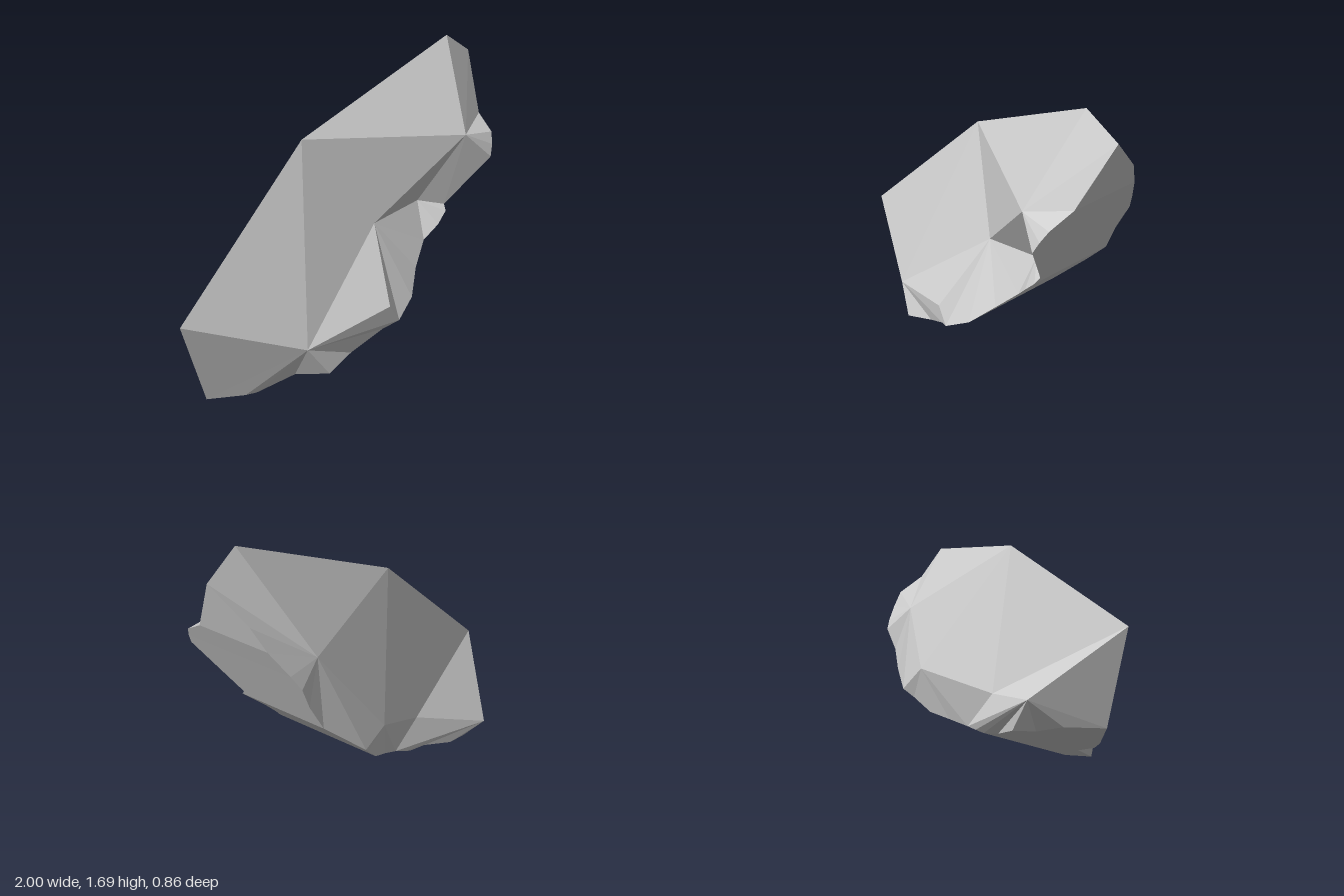
import * as THREE from 'three';

// Underside curve in x,y: the curved bottom runs straight across in z
const profile = [[-0.84, 0], [-0.61, 0], [-0.14, 0.14], [0.26, 0.36], [0.645, 0.74], [0.83, 1.12], [0.9, 1.26], [1, 1.58]];

function heightAt(x) {
  let i = 1;
  while (i < profile.length - 1 && x > profile[i][0]) i++;
  const [x0, y0] = profile[i - 1], [x1, y1] = profile[i];
  return y0 + (y1 - y0) * (x - x0) / (x1 - x0);
}

// Rim of the underside from x,z pairs, with the height taken from the profile
const rim = (pairs) => pairs.map(([x, z]) => [x, heightAt(x), z]);

export function createModel() {
  const frontRim = rim([
    [-0.84, -0.107], [-0.67, 0.005], [-0.61, 0.025], [-0.41, 0.105], [-0.32, 0.27], [-0.14, 0.255],
    [0.04, 0.32], [0.115, 0.37], [0.26, 0.335], [0.38, 0.26], [0.5, 0.215], [0.58, 0.25],
    [0.645, 0.25], [0.66, 0.225], [0.8, 0.43], [0.83, 0.415], [0.86, 0.385], [0.9, 0.265], [1, 0.1],
  ]);
  const backRim = rim([
    [-0.84, -0.107], [-0.73, -0.27], [-0.61, -0.33], [-0.45, -0.34], [-0.24, -0.26], [-0.14, -0.27],
    [-0.08, -0.275], [0, -0.265], [0.13, -0.285], [0.26, -0.315], [0.37, -0.345], [0.43, -0.375],
    [0.645, -0.275], [0.72, -0.25], [0.79, -0.265], [0.83, -0.23], [0.9, -0.155], [0.94, -0.09], [1, 0.1],
  ]);
  // Both rims share their end points
  backRim[0] = frontRim[0];
  const tip = frontRim[0], point = frontRim[18];
  backRim[18] = point;

  // Upper ridge
  const ridgeA = [-1, 0.45, -0.1], ridgeB = [-0.14, 1.24, -0.1], ridgeC = [0.8, 1.69, 0.1];
  // Corners on the front and back faces
  const p1 = [-0.43, 0.24, 0.22], p2 = [0.19, 0.75, 0.12], p3 = [0.66, 1.195, 0.36];
  const p4 = [0.54, 0.8, 0.13], p5 = [0.05, 0.375, 0.36];
  const q1 = [-0.67, 0.11, -0.43], q2 = [-0.2, 0.33, -0.265], q3 = [0.27, 0.59, -0.375], q4 = [0.62, 1.12, -0.225];

  const positions = [];
  const tri = (a, b, c) => positions.push(...a, ...b, ...c);
  const fan = (centre, ring) => {
    for (let i = 0; i < ring.length - 1; i++) tri(centre, ring[i], ring[i + 1]);
  };
  const back = (from, to) => backRim.slice(to, from + 1).reverse();

  // Front facets
  fan(p1, [ridgeA, ...frontRim.slice(0, 8), p5, p2, ridgeB, ridgeA]);
  fan(p2, [p5, ...frontRim.slice(7, 11), p4, p3, ridgeB]);
  fan(p4, [...frontRim.slice(10, 14), p3]);
  fan(p3, [...frontRim.slice(13), ridgeC, ridgeB]);

  // Back facets
  fan(q1, [ridgeA, q2, ...back(7, 0), ridgeA]);
  fan(q2, [ridgeA, ridgeB, q3, backRim[7]]);
  fan(q3, [ridgeB, q4, ...back(11, 7)]);
  fan(q4, [ridgeB, ridgeC, ...back(18, 11)]);

  // Underside strip: step along whichever rim is behind in x
  let i = 0, j = 0;
  while (i < 18 || j < 18) {
    if (j === 18 || (i < 18 && frontRim[i + 1][0] <= backRim[j + 1][0])) {
      tri(frontRim[i], backRim[j], frontRim[i + 1]);
      i++;
    } else {
      tri(frontRim[i], backRim[j], backRim[j + 1]);
      j++;
    }
  }

  const geometry = new THREE.BufferGeometry();
  geometry.setAttribute('position', new THREE.Float32BufferAttribute(positions, 3));
  geometry.computeVertexNormals();
  const rock = new THREE.Mesh(geometry, new THREE.MeshStandardMaterial({ color: 0xcccccc, flatShading: true }));
  rock.name = 'rockShard';

  const group = new THREE.Group();
  group.name = 'rock';
  group.add(rock);
  return group;
}
